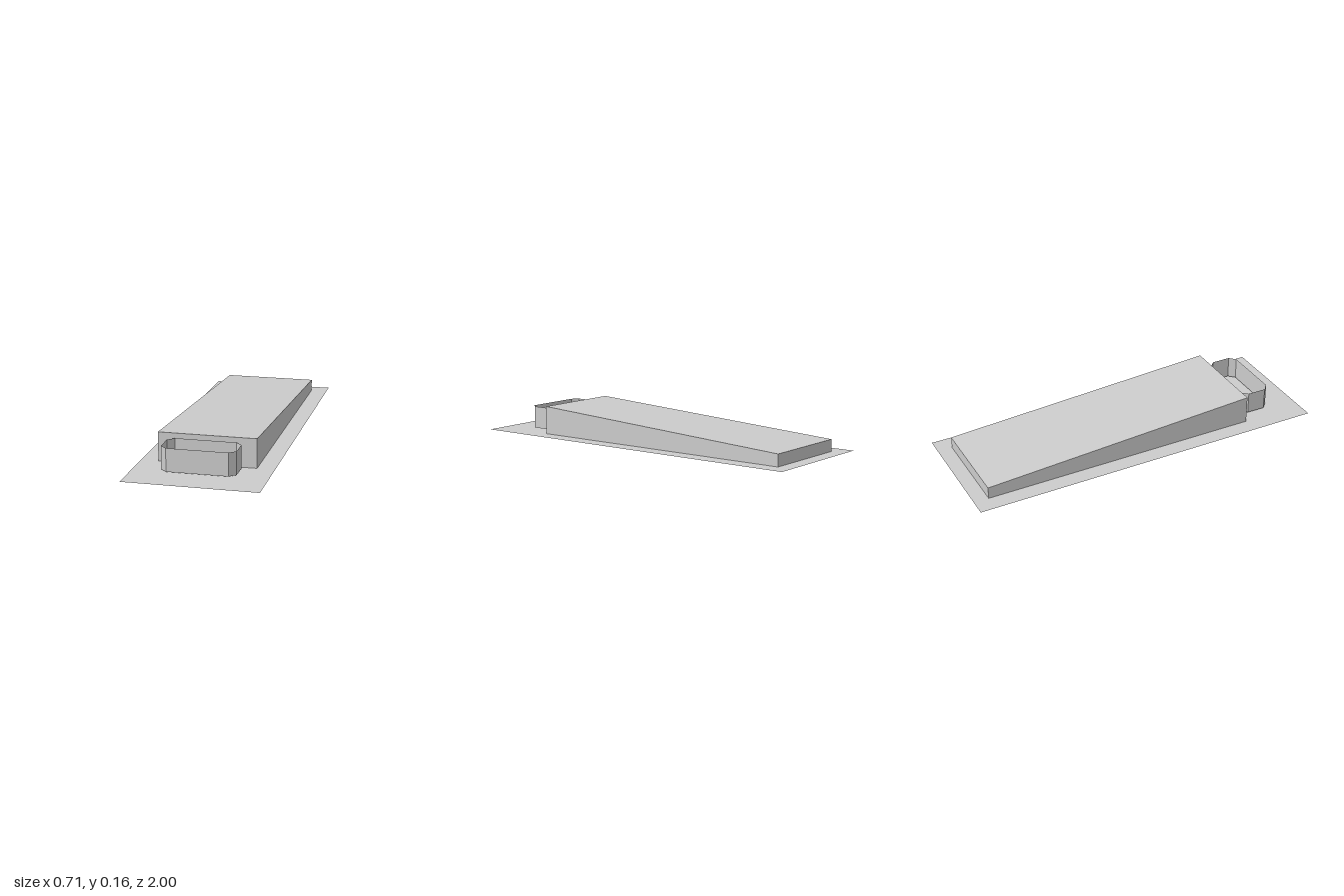
import * as THREE from 'three';

const X = 0.26, BACK = -0.918, FRONT = 0.643; // ramp footprint
const H_FRONT = 0.157, H_BACK = 0.066;

// Rectangle outline in the XY plane
function rectPoints(x0, y0, x1, y1) {
  return [[x0, y0], [x1, y0], [x1, y1], [x0, y1]].map(([x, y]) => new THREE.Vector2(x, y));
}

// Flat sheet with an opening beneath the hollow ramp
function baseGeometry() {
  const shape = new THREE.Shape(rectPoints(-0.353, -1, 0.353, 1));
  shape.holes.push(new THREE.Path(rectPoints(-X, -FRONT, X, -BACK)));
  return new THREE.ShapeGeometry(shape).rotateX(-Math.PI / 2);
}

// Box with a sloping top and no bottom face
function rampGeometry() {
  const geo = new THREE.BoxGeometry(2 * X, 1, FRONT - BACK);
  geo.translate(0, 0.5, (FRONT + BACK) / 2);
  const pos = geo.attributes.position;
  for (let i = 0; i < pos.count; i++) {
    if (pos.getY(i) > 0.5) pos.setY(i, pos.getZ(i) > 0 ? H_FRONT : H_BACK);
  }
  const index = Array.from(geo.index.array);
  index.splice(18, 6); // bottom face
  geo.setIndex(index);
  geo.clearGroups();
  geo.computeVertexNormals();
  return geo;
}

// Open eight-sided wall with cut corners
function collarGeometry(y0, y1) {
  const outline = [
    [-0.165, 0.829], [0.157, 0.829], [0.19, 0.797], [0.19, 0.692],
    [0.157, 0.657], [-0.165, 0.657], [-0.199, 0.692], [-0.199, 0.797],
  ];
  const verts = [];
  outline.forEach(([ax, az], i) => {
    const [bx, bz] = outline[(i + 1) % outline.length];
    verts.push(ax, y0, az, bx, y0, bz, bx, y1, bz);
    verts.push(ax, y0, az, bx, y1, bz, ax, y1, az);
  });
  const geo = new THREE.BufferGeometry();
  geo.setAttribute('position', new THREE.Float32BufferAttribute(verts, 3));
  geo.computeVertexNormals();
  return geo;
}

export function createModel() {
  const group = new THREE.Group();
  group.name = 'ramp with collar';
  const grey = new THREE.MeshStandardMaterial({ color: 0xcccccc, side: THREE.DoubleSide, flatShading: true });
  grey.name = 'light grey';

  const add = (name, geometry) => {
    const mesh = new THREE.Mesh(geometry, grey);
    mesh.name = name;
    group.add(mesh);
  };
  add('basePlate', baseGeometry());
  add('ramp', rampGeometry());
  add('collar', collarGeometry(0.01, 0.134));
  return group;
}
